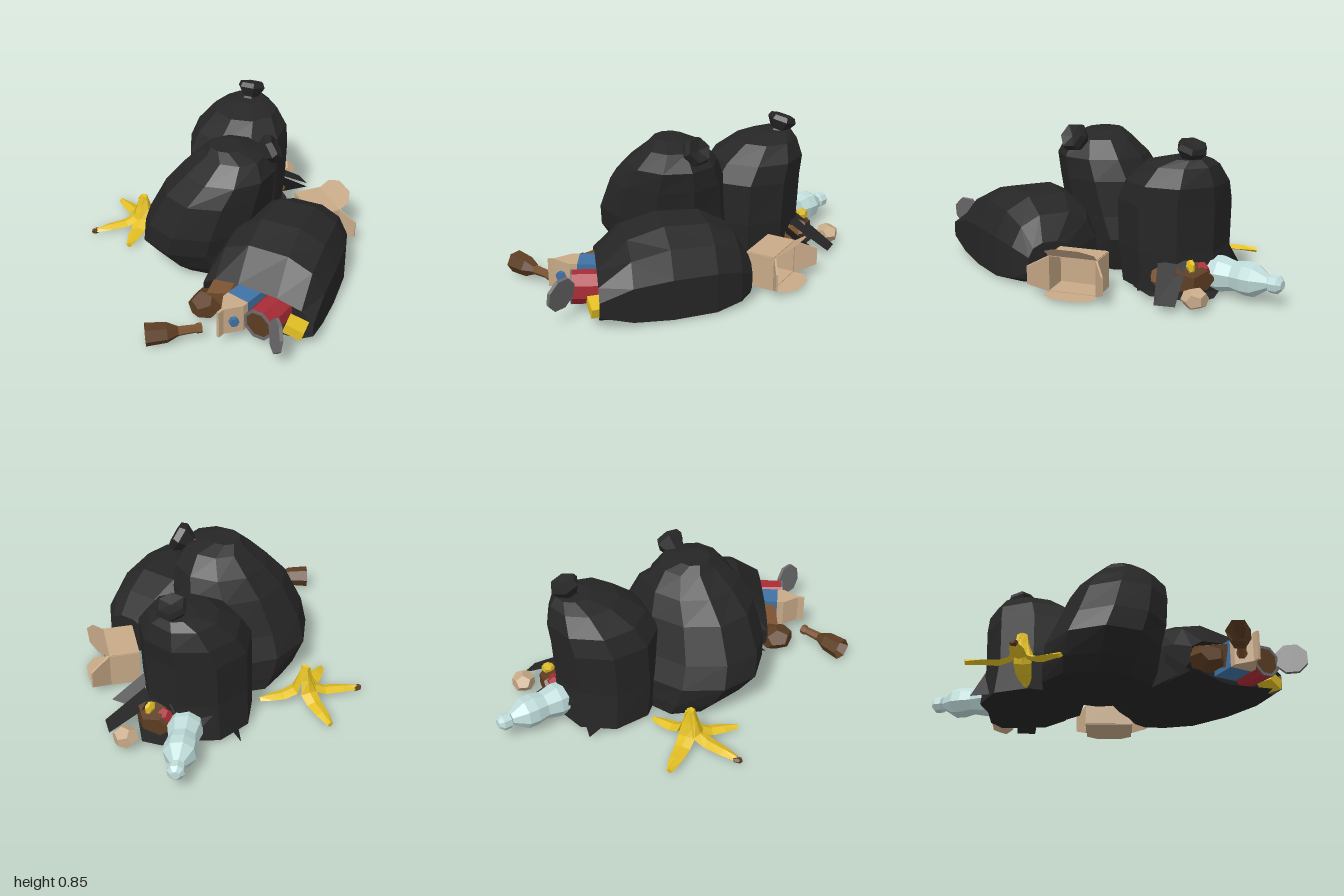
import * as THREE from 'three';

const V = (x, y, z) => new THREE.Vector3(x, y, z);
const UP = V(0, 1, 0);
const mat = (color) => new THREE.MeshStandardMaterial({ color, flatShading: true, side: THREE.DoubleSide });
const M = {
  bag: mat(0x262626), tan: mat(0xc8aa88), brown: mat(0x5c3d22), neck: mat(0x7a5230), red: mat(0xa82c36),
  blue: mat(0x3f72a4), yellow: mat(0xe3c024), grey: mat(0x6c6a6c), glass: mat(0xbfdcda),
};

export function createModel() {
  const model = new THREE.Group();

  function add(name, geometry, material, parent = model) {
    const mesh = new THREE.Mesh(geometry, material);
    mesh.name = name;
    parent.add(mesh);
    return mesh;
  }

  // Surface through a series of equal-sized rings, capped at both ends
  function loft(rings) {
    const n = rings[0].length, pos = [], idx = [];
    rings.flat().forEach((p) => pos.push(p.x, p.y, p.z));
    for (let i = 0; i < rings.length - 1; i++) {
      for (let j = 0; j < n; j++) {
        const a = i * n + j, b = i * n + (j + 1) % n;
        idx.push(a, b, b + n, a, b + n, a + n);
      }
    }
    const last = (rings.length - 1) * n;
    for (let j = 1; j < n - 1; j++) idx.push(0, j + 1, j, last, last + j, last + j + 1);
    const g = new THREE.BufferGeometry();
    g.setAttribute('position', new THREE.Float32BufferAttribute(pos, 3));
    g.setIndex(idx);
    const flat = g.toNonIndexed();
    flat.computeVertexNormals();
    return flat;
  }

  // Elliptical ring spanned by u and v; a power k below 1 squares it
  function ring(c, u, v, n, phase = 0, k = 1) {
    const soft = (q) => Math.sign(q) * Math.abs(q) ** k;
    return Array.from({ length: n }, (_, j) => {
      const t = (j / n) * Math.PI * 2 + phase;
      return c.clone().addScaledVector(u, soft(Math.cos(t))).addScaledVector(v, soft(Math.sin(t)));
    });
  }

  // Turned part from a to b; profile entries are [radius, distance along 0..1]
  function turned(name, a, b, profile, sides, material) {
    const len = a.distanceTo(b);
    const g = new THREE.LatheGeometry(profile.map(([r, t]) => new THREE.Vector2(r, t * len)), sides);
    const mesh = add(name, g, material);
    mesh.position.copy(a);
    mesh.quaternion.setFromUnitVectors(UP, b.clone().sub(a).normalize());
  }

  // Thin flat piece
  function sheet(name, pts, material, parent) {
    const p = pts.map((q) => V(...q)), pos = [];
    for (let i = 1; i < p.length - 1; i++) [p[0], p[i], p[i + 1]].forEach((q) => pos.push(q.x, q.y, q.z));
    const g = new THREE.BufferGeometry();
    g.setAttribute('position', new THREE.Float32BufferAttribute(pos, 3));
    g.computeVertexNormals();
    add(name, g, material, parent);
  }

  function chunk(name, c, s, rot, material) {
    const mesh = add(name, new THREE.DodecahedronGeometry(1), material);
    mesh.position.set(...c);
    mesh.scale.set(...s);
    mesh.rotation.y = rot;
  }

  // Standing bags: rows of y, centre x, centre z, radius x, radius z
  const standing = (rows, n, phase) => loft(rows.map(([y, x, z, rx, rz]) =>
    ring(V(x, y, z), V(rx, 0, 0), V(0, 0, -rz), n, phase)));
  add('backBag', standing([
    [0.03, -0.44, -0.33, 0.31, 0.3], [0.25, -0.415, -0.33, 0.31, 0.31], [0.5, -0.415, -0.34, 0.315, 0.31],
    [0.61, -0.43, -0.38, 0.285, 0.28], [0.71, -0.455, -0.43, 0.205, 0.19], [0.75, -0.49, -0.48, 0.1, 0.1],
  ], 9, 0.25), M.bag);
  // The front bag bulges forward over a smaller base
  add('frontBag', standing([
    [0.025, -0.14, 0.05, 0.325, 0.27], [0.1, -0.135, 0.08, 0.34, 0.33], [0.22, -0.13, 0.11, 0.34, 0.395],
    [0.35, -0.085, 0.11, 0.325, 0.385], [0.55, -0.03, 0.07, 0.295, 0.34], [0.67, 0.01, 0.03, 0.265, 0.27],
    [0.77, 0.03, 0.01, 0.19, 0.17], [0.81, 0.0, 0.05, 0.1, 0.09],
  ], 10, 0.1), M.bag);

  // Tied knots, flaring from a narrow neck
  const knot = [[0.06, 0], [0.05, 0.25], [0.088, 0.75], [0.075, 1], [0, 0.9]];
  turned('backBagKnot', V(-0.495, 0.72, -0.495), V(-0.515, 0.83, -0.525), knot, 6, M.bag);
  turned('frontBagKnot', V(0.1, 0.73, -0.08), V(0.175, 0.8, -0.18), knot, 6, M.bag);

  // Lying bag, flat underneath, open at its slanted front end
  // Rows: distance, top height, sideways centre, half width, slant
  const along = V(0.5, 0, 0.866), across = V(0.866, 0, -0.5);
  const lying = [
    [-0.28, 0.26, 0.46, 0.13, 0], [-0.2, 0.4, 0.4, 0.26, 0], [-0.05, 0.475, 0.385, 0.32, 0],
    [0.2, 0.485, 0.385, 0.345, 0], [0.4, 0.43, 0.39, 0.35, 0.02], [0.56, 0.265, 0.395, 0.355, 0.045],
    [0.44, 0.23, 0.39, 0.31, 0.03],
  ].map(([s, top, p, w, slant]) => {
    const c = along.clone().multiplyScalar(s).addScaledVector(across, p).setY(0.14);
    const u = across.clone().multiplyScalar(w).addScaledVector(along, slant);
    const points = ring(c, u, V(0, top - 0.14, 0), 12, Math.PI / 12, 0.8);
    points.forEach((q) => { q.y = Math.max(q.y, 0.025); });
    return points;
  });
  add('lyingBag', loft(lying), M.bag);

  // Torn shreds around the back bag's hole and the lying bag's mouth
  [
    [[-0.5, 0.22, -0.62], [-0.44, 0.05, -0.88], [-0.33, 0.05, -0.86], [-0.34, 0.2, -0.62]],
    [[-0.36, 0.05, -0.63], [-0.24, 0.1, -0.78], [-0.26, 0.24, -0.58]],
    [[-0.71, 0.27, -0.4], [-0.82, 0.04, -0.27], [-0.68, 0.05, -0.22]],
    [[-0.72, 0.22, -0.36], [-0.7, 0.04, -0.53], [-0.58, 0.24, -0.58]],
    [[-0.68, 0.028, -0.5], [-0.64, 0.028, -0.66], [-0.56, 0.028, -0.74], [-0.3, 0.028, -0.66], [-0.2, 0.028, -0.5]],
    [[0.78, 0.04, 0.12], [0.94, 0.1, 0.14], [0.74, 0.04, 0.28], [0.55, 0.03, 0.3]],
    [[0.2, 0.2, 0.26], [0.29, 0.04, 0.42], [0.2, 0.03, 0.22]],
  ].forEach((p, i) => sheet('tornShred' + i, p, M.bag));

  // Rubbish in the back bag's hole
  chunk('brownScrap', [-0.5, 0.12, -0.61], [0.15, 0.09, 0.12], 0.3, M.brown);
  chunk('smallBrownScrap', [-0.37, 0.11, -0.61], [0.08, 0.08, 0.07], 0.8, M.neck);
  chunk('redScrap', [-0.57, 0.15, -0.6], [0.05, 0.06, 0.05], 0.4, M.red);
  chunk('yellowScrap', [-0.515, 0.2, -0.665], [0.022, 0.04, 0.04], 0.4, M.yellow);
  chunk('paperBall', [-0.54, 0.08, -0.825], [0.075, 0.06, 0.07], 0.5, M.tan);

  // Clear plastic bottle
  turned('plasticBottle', V(-0.61, 0.125, -0.49), V(-0.99, 0.135, -0.74), [
    [0, 0], [0.09, 0.02], [0.098, 0.2], [0.08, 0.38], [0.092, 0.52], [0.09, 0.65], [0.035, 0.83], [0.049, 0.85],
    [0.049, 0.95], [0.025, 1], [0, 1],
  ], 8, M.glass);

  // Open cardboard box lying on its side, with four flaps
  const box = new THREE.Group();
  box.name = 'cardboardBox';
  box.position.set(0.088, 0.13, -0.585);
  box.rotation.y = -0.25;
  model.add(box);
  const W = 0.14, H = 0.1, D = 0.085;
  const panel = (name, size, x, y, z) => add(name, new THREE.BoxGeometry(...size), M.tan, box).position.set(x, y, z);
  panel('boxBase', [2 * W, 2 * H, 0.008], 0, 0, D);
  for (const s of [-1, 1]) {
    panel('boxWide', [2 * W, 0.008, 2 * D], 0, s * H, 0);
    panel('boxSide', [0.008, 2 * H, 2 * D], s * W, 0, 0);
    const [dy, dz] = s > 0 ? [0.07, 0.1] : [0, 0.12];
    sheet('boxFlap', [[-W, s * H, -D], [-W, s * H + dy * 0.6, -D - dz * 0.6], [-W * 0.5, s * H + dy, -D - dz],
      [W * 0.5, s * H + dy, -D - dz], [W, s * H + dy * 0.6, -D - dz * 0.6], [W, s * H, -D]], M.tan, box);
    // Side flaps: chamfered slabs swung outwards
    const [dx, dd] = s > 0 ? [0.1, 0.06] : [0.07, 0.11];
    const slab = [0, 0.008].map((t) => [[0, -H], [1, -H * 0.5], [1, H * 0.5], [0, H]].map(([r, y]) =>
      V(s * (W + dx * r - t), y, -D - dd * r - t)));
    add('boxSideFlap', loft(slab), M.tan, box);
  }

  // Banana peel: four drooping strips around a stem
  const heart = V(-0.61, 0, 0.25);
  [[-0.54, 0.0], [-0.91, 0.24], [-0.7, 0.56], [-0.44, 0.47]].forEach(([x, z], i) => {
    const dir = V(x, 0, z).sub(heart), L = dir.length();
    dir.normalize();
    const path = [[0.008, 0.22, 0.028], [0.028, 0.15, 0.036], [0.055, 0.075, 0.05], [0.12, 0.045, 0.045],
      [L * 0.7, 0.04, 0.038], [L, 0.03, 0.018]];
    const rings = path.map(([r, y, w], j) => {
      const p = path[Math.max(0, j - 1)], q = path[Math.min(5, j + 1)];
      const t = dir.clone().multiplyScalar(q[0] - p[0]).setY(q[1] - p[1]).normalize();
      const n = dir.clone().multiplyScalar(-t.y).setY(t.dot(dir));
      const side = n.clone().cross(t).multiplyScalar(w);
      return ring(heart.clone().addScaledVector(dir, r).setY(y), side, n.multiplyScalar(0.016), 4);
    });
    add('peelStrip' + i, loft(rings), M.yellow);
  });
  chunk('peelTip', [-0.7, 0.03, 0.555], [0.022, 0.018, 0.03], 0, M.brown);

  // Broken brown bottle
  turned('brokenBottle', V(0.475, 0.09, 0.71), V(0.395, 0.09, 0.87),
    [[0.028, 0], [0.058, 0.35], [0.066, 1], [0.05, 0.7]], 6, M.brown);
  turned('bottleNeck', V(0.525, 0.09, 0.59), V(0.473, 0.09, 0.715),
    [[0, 0], [0.03, 0], [0.03, 0.2], [0.024, 0.25], [0.028, 1]], 6, M.neck);

  // Brown scraps at the lying bag's mouth
  chunk('brownLump', [0.375, 0.1, 0.455], [0.1, 0.075, 0.11], 0.5, M.brown);
  const scrap = add('brownBoard', new THREE.BoxGeometry(0.15, 0.13, 0.14), M.neck);
  scrap.position.set(0.43, 0.165, 0.35);
  scrap.rotation.set(0.3, 0.5, 0.2);

  // Drinks carton: blue body, tan gable end with a vertical ridge, blue cap
  const carton = new THREE.Group();
  carton.name = 'carton';
  carton.position.set(0.575, 0.17, 0.32);
  carton.rotation.y = 0.25;
  model.add(carton);
  add('cartonBody', new THREE.BoxGeometry(0.14, 0.165, 0.16), M.blue, carton);
  const end = (w, z) => [V(-w, -0.083, z), V(w, -0.083, z), V(w, 0.083, z), V(-w, 0.083, z)];
  add('cartonGable', loft([end(0.07, 0.08), end(0.07, 0.12), end(0.008, 0.21), end(0.008, 0.25)]), M.tan, carton);
  const cap = add('cartonCap', new THREE.CylinderGeometry(0.028, 0.028, 0.035, 6), M.blue, carton);
  cap.position.set(0.046, 0, 0.172);
  cap.rotation.set(0, -0.6, -Math.PI / 2);

  // Opened tin: red wall, grey rim, brown contents and loose lid
  const tinBack = V(0.69, 0.16, 0.19), tinFront = V(0.755, 0.16, 0.385);
  turned('tinWall', tinBack, tinFront, [[0, 0], [0.093, 0], [0.093, 0.96]], 8, M.red);
  turned('tinRim', tinBack, tinFront, [[0.093, 0.95], [0.095, 1], [0.078, 1], [0.078, 0.9]], 8, M.grey);
  turned('tinContents', tinBack, tinFront, [[0.08, 0.9], [0.079, 0.97], [0, 0.97]], 8, M.brown);
  turned('tinLid', V(0.913, 0.188, 0.372), V(0.905, 0.191, 0.39), [[0, 0], [0.097, 0], [0.097, 1], [0, 1]], 8, M.grey);

  // Yellow packet beside the tin
  const packet = add('yellowPacket', new THREE.BoxGeometry(0.11, 0.06, 0.1), M.yellow);
  packet.position.set(0.845, 0.115, 0.195);
  packet.rotation.set(0, 0.6, -0.3);

  return model;
}
